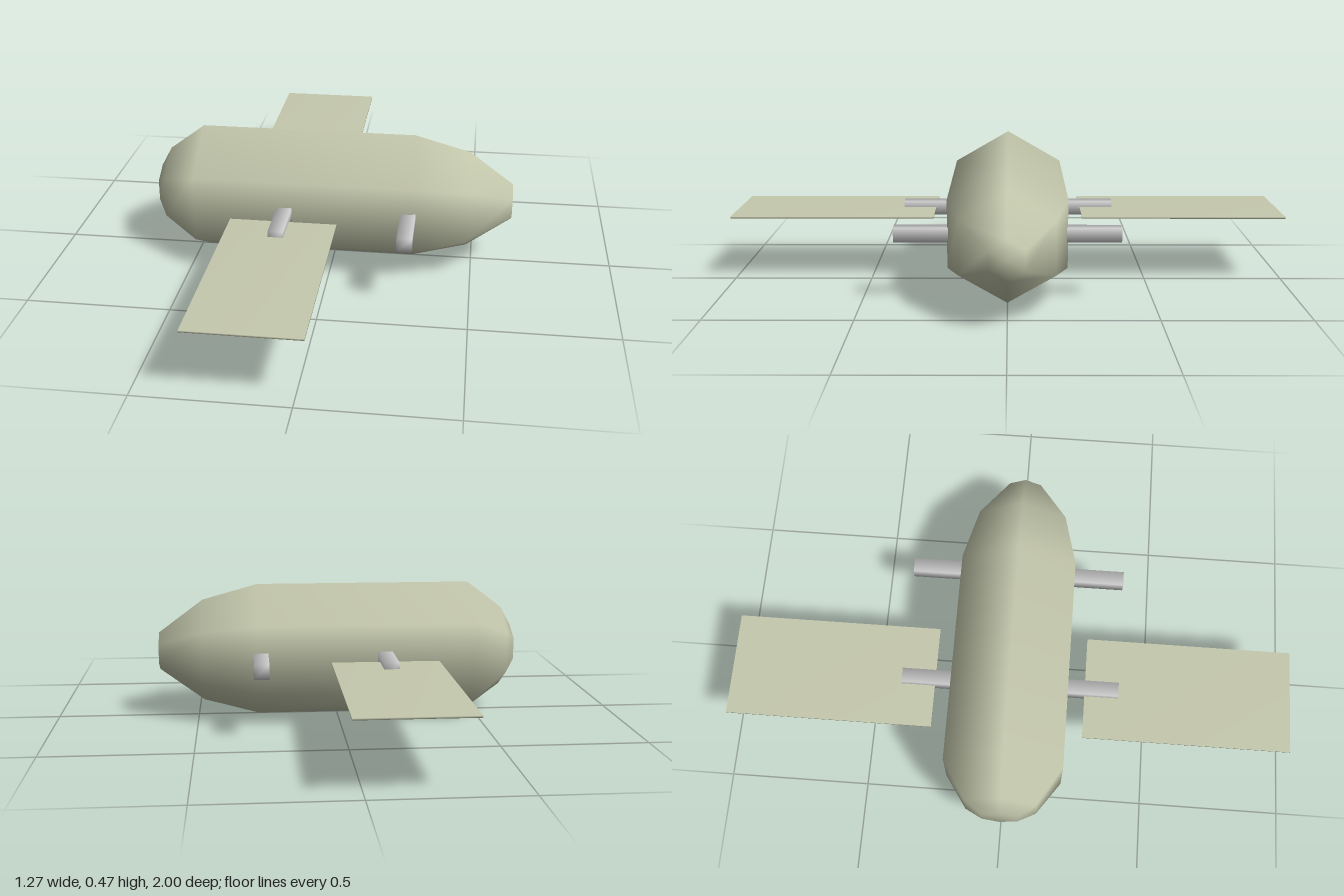
import * as THREE from 'three';
import { mergeVertices } from 'three/addons/utils/BufferGeometryUtils.js';

const AXIS_Y = 0.24;

// Box with shared corners, so its shading is smooth over the edges
function softBox(w, h, d) {
  const box = new THREE.BoxGeometry(w, h, d);
  box.deleteAttribute('normal');
  box.deleteAttribute('uv');
  const geometry = mergeVertices(box);
  geometry.computeVertexNormals();
  return geometry;
}

export function createModel() {
  const model = new THREE.Group();
  const olive = new THREE.MeshStandardMaterial({ color: 0xc5c9ad });
  const grey = new THREE.MeshStandardMaterial({ color: 0xcccccc });

  function add(name, geometry, material, x, y, z) {
    const mesh = new THREE.Mesh(geometry, material);
    mesh.name = name;
    mesh.position.set(x, y, z);
    model.add(mesh);
  }

  // Six-sided body along x, ridges at top and bottom, closed at both ends
  const profile = [
    [0, -0.638], [0.073, -0.638], [0.143, -0.6], [0.237, -0.475],
    [0.237, 0.285], [0.183, 0.48], [0.067, 0.636], [0, 0.636],
  ].map(([r, x]) => new THREE.Vector2(r, x));
  const body = new THREE.LatheGeometry(profile, 6);
  body.rotateZ(-Math.PI / 2).rotateX(Math.PI / 2);
  add('body', body, olive, 0, AXIS_Y, 0);

  // Thin flat wings, set clear of the body
  const wing = softBox(0.37, 0.006, 0.732);
  for (const side of [1, -1]) {
    add(side > 0 ? 'frontWing' : 'backWing', wing, olive, -0.147, AXIS_Y, side * 0.634);
  }

  // Square bars through the body, ending as stubs on both sides
  const bar = softBox(0.052, 0.05, 0.775);
  add('wingBar', bar, grey, -0.153, AXIS_Y, 0);
  add('noseBar', bar, grey, 0.278, AXIS_Y, 0);

  return model;
}
